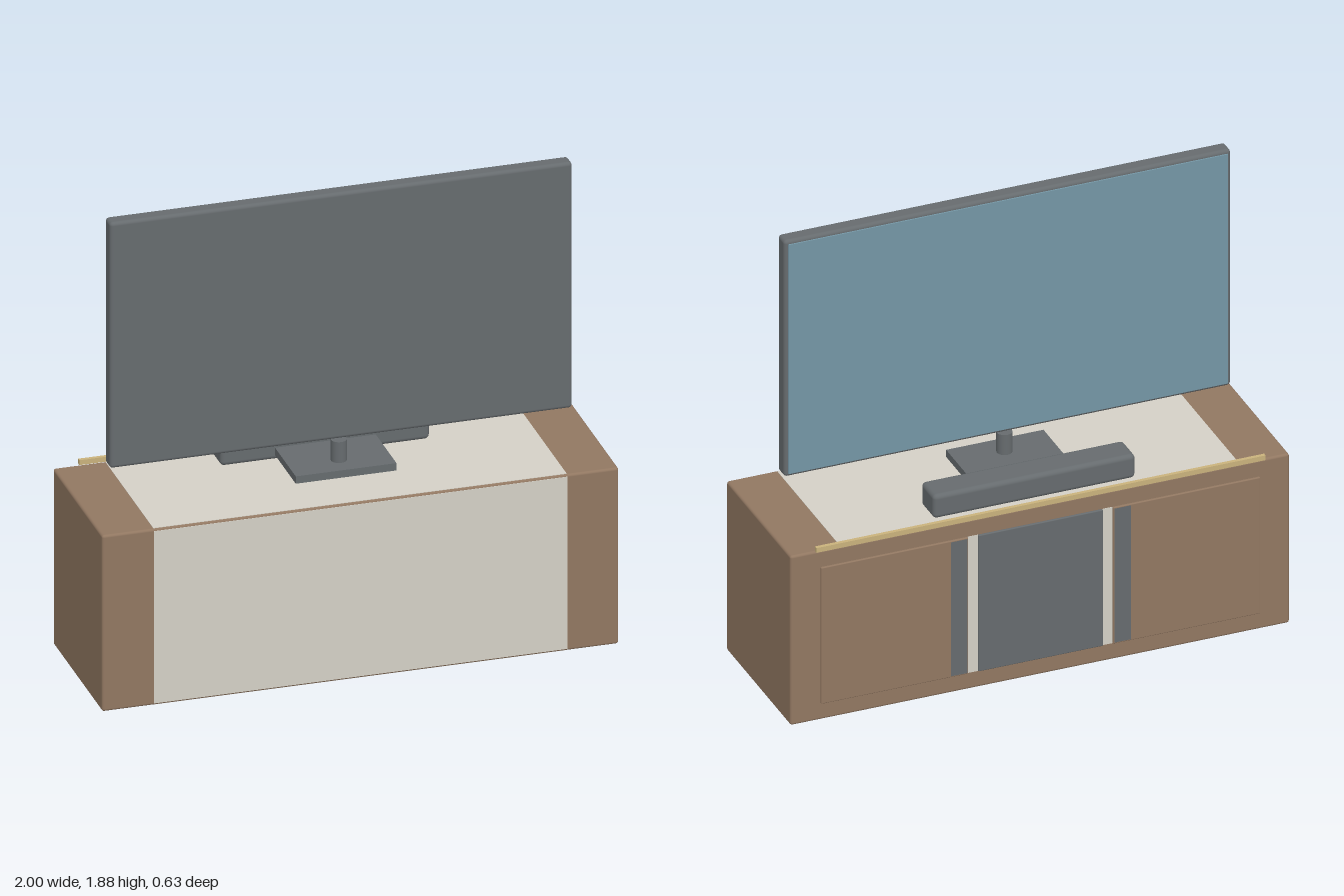
import * as THREE from 'three';
import { RoundedBoxGeometry } from 'three/addons/geometries/RoundedBoxGeometry.js';

const paint = (color) => new THREE.MeshStandardMaterial({ color });
const wood = paint(0x917761);
const cream = paint(0xd4d0c6);
const dark = paint(0x666b6e);
const glass = paint(0x7496a5);
const brass = paint(0xc9b27c);

export function createModel() {
  const model = new THREE.Group();

  // Box from its limits on each axis, with rounded edges when r is given
  function box(name, material, [x0, x1], [y0, y1], [z0, z1], r = 0) {
    const size = [x1 - x0, y1 - y0, z1 - z0];
    const geometry = r
      ? new RoundedBoxGeometry(...size, 3, r)
      : new THREE.BoxGeometry(...size);
    const mesh = new THREE.Mesh(geometry, material);
    mesh.name = name;
    mesh.position.set((x0 + x1) / 2, (y0 + y1) / 2, (z0 + z1) / 2);
    model.add(mesh);
    return mesh;
  }

  // Cabinet with pale panels lying flush on its front, top and underside
  box('cabinetBody', wood, [-1, 1], [0, 0.72], [-0.305, 0.311], 0.01);
  box('frontPanel', cream, [-0.8, 0.8], [0.008, 0.712], [0.3, 0.3125]);
  box('topPanel', cream, [-0.8, 0.8], [0.7, 0.7215], [-0.297, 0.303]);
  box('bottomPanel', cream, [-0.8, 0.8], [-0.001, 0.02], [-0.297, 0.303]);

  // Three doors: wooden ones outside, a dark one in the middle
  const doorY = [0.07, 0.65];
  const doorZ = [-0.313, -0.295];
  box('middleDoor', dark, [-0.25, 0.25], doorY, doorZ, 0.004);
  for (const [side, s] of [['left', 1], ['right', -1]]) {
    const span = (a, b) => (s > 0 ? [a, b] : [-b, -a]);
    box(side + 'Door', wood, span(0.29, 0.88), doorY, doorZ, 0.004);
    box(side + 'DoorEdge', dark, span(0.295, 0.36), [0.075, 0.645], [-0.3135, -0.3]);
    box(side + 'DoorGap', cream, span(0.25, 0.29), doorY, [-0.306, -0.295]);
  }

  // Brass rail along the upper edge behind the doors' top
  box('brassRail', brass, [-0.9, 0.9], [0.72, 0.74], [-0.315, -0.3]);

  // Television with its screen on the door side
  box('televisionCase', dark, [-0.895, 0.895], [0.87, 1.875], [0.006, 0.07], 0.014);
  box('screen', glass, [-0.88, 0.88], [0.885, 1.86], [0, 0.012]);

  // Stand
  box('standBase', dark, [-0.195, 0.195], [0.74, 0.77], [-0.13, 0.13]);
  const neck = new THREE.Mesh(new THREE.CylinderGeometry(0.03, 0.03, 0.09, 32), dark);
  neck.name = 'standNeck';
  neck.position.set(0, 0.81, 0.038);
  model.add(neck);

  // Speaker bar in front of the screen
  box('speakerBar', dark, [-0.405, 0.405], [0.72, 0.82], [-0.255, -0.13], 0.018);

  return model;
}
